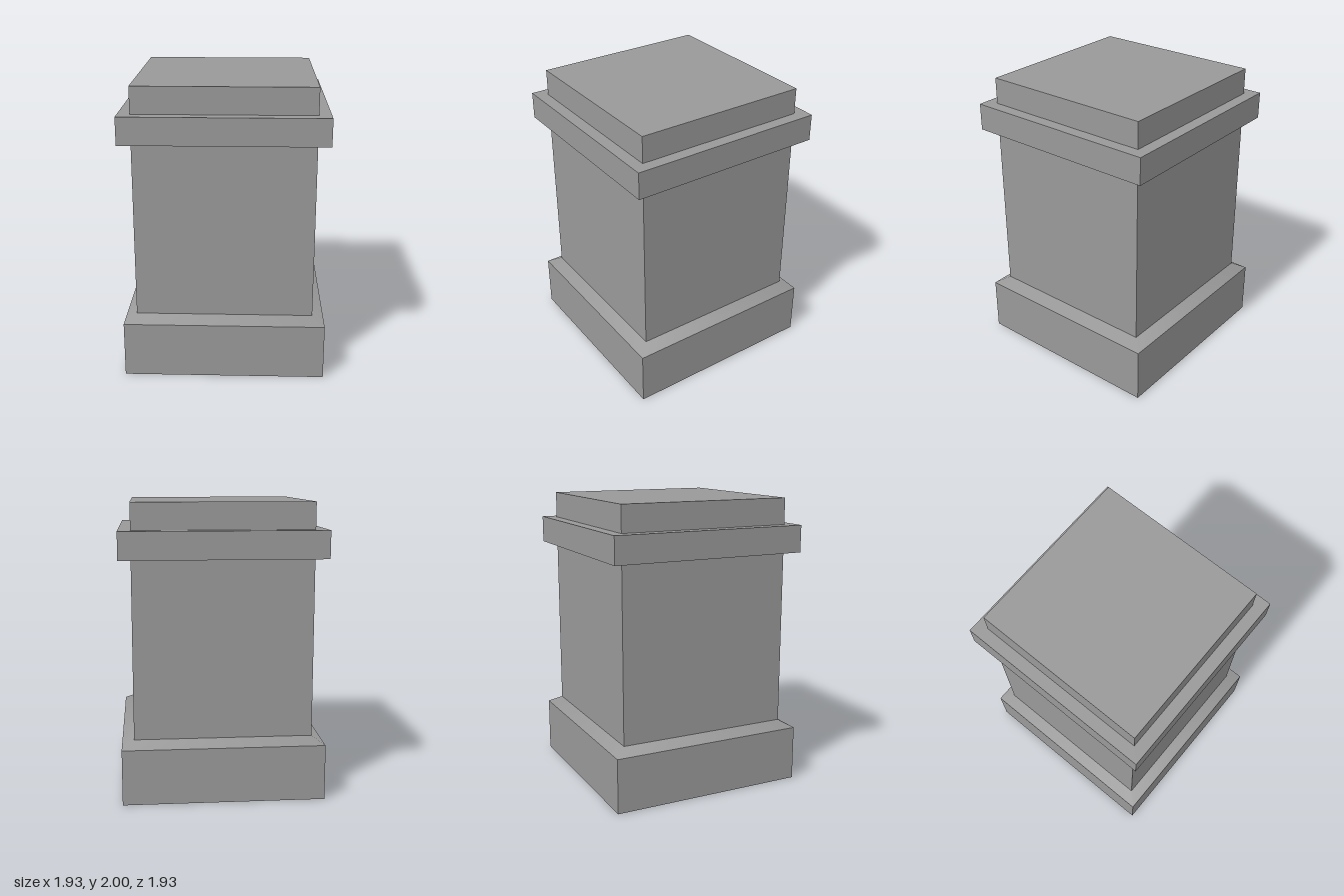
import * as THREE from 'three';

const WIDE = 0.966, NARROW = 0.85; // centre-to-corner distances

export function createModel() {
  const group = new THREE.Group();
  group.name = 'pedestal';
  const flat = new THREE.MeshStandardMaterial({ color: 0x999999, flatShading: true });
  const smooth = new THREE.MeshStandardMaterial({ color: 0x999999 });

  // Square section swept from a [radius, height] profile, corners on the x and z axes
  const addPart = (name, material, profile) => {
    const points = profile.map(([r, y]) => new THREE.Vector2(r, y));
    const mesh = new THREE.Mesh(new THREE.LatheGeometry(points, 4), material);
    mesh.name = name;
    group.add(mesh);
  };

  // Plinth, closed underneath
  addPart('base', flat, [[0, 0], [WIDE, 0], [WIDE, 0.38]]);
  // Sloped shoulder, shaded smoothly around its corners
  addPart('baseShoulder', smooth, [[WIDE, 0.38], [NARROW, 0.428]]);
  // Plain square column
  addPart('shaft', flat, [[NARROW, 0.428], [NARROW, 1.635]]);
  // Projecting band with its underside and upper ledge
  addPart('collar', flat, [[NARROW, 1.635], [WIDE, 1.635], [WIDE, 1.82], [NARROW, 1.82]]);
  // Top block
  addPart('cap', flat, [[NARROW, 1.82], [NARROW, 2], [0, 2]]);

  return group;
}
